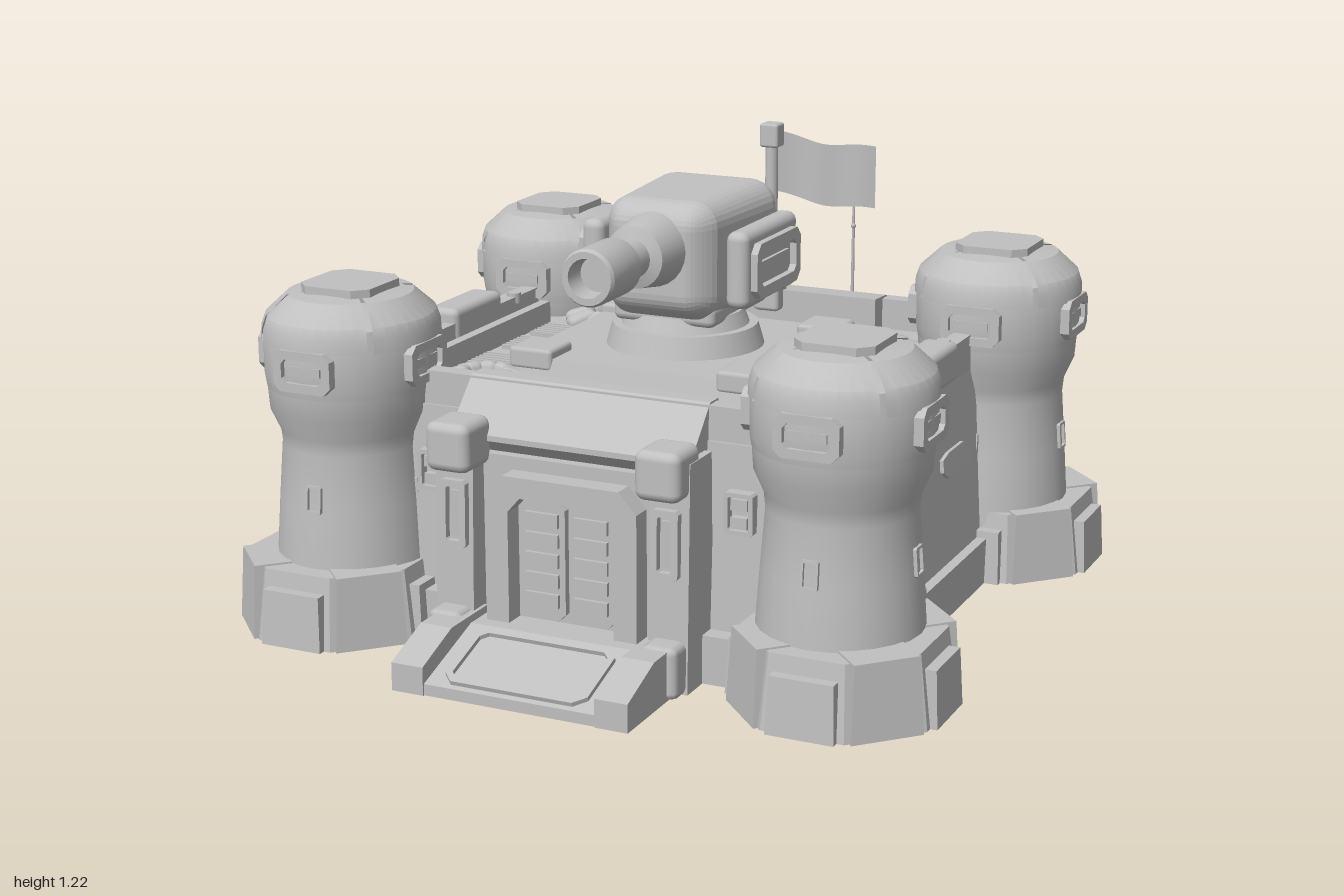
import * as THREE from 'three';
import { RoundedBoxGeometry } from 'three/addons/geometries/RoundedBoxGeometry.js';
import { toCreasedNormals } from 'three/addons/utils/BufferGeometryUtils.js';

const stone = new THREE.MeshStandardMaterial({ color: 0xc0c0c0, side: THREE.DoubleSide });
stone.name = 'plain grey';

function add(parent, name, geo, x = 0, y = 0, z = 0, rx = 0, ry = 0, rz = 0) {
  const m = new THREE.Mesh(geo, stone);
  m.name = name;
  m.position.set(x, y, z);
  m.rotation.set(rx, ry, rz);
  parent.add(m);
  return m;
}
function group(parent, name, x = 0, y = 0, z = 0, ry = 0) {
  const g = new THREE.Group();
  g.name = name;
  g.position.set(x, y, z);
  g.rotation.y = ry;
  parent.add(g);
  return g;
}
const box = (w, h, d) => new THREE.BoxGeometry(w, h, d);
const soft = (w, h, d, r = 0.015, s = 1) => new RoundedBoxGeometry(w, h, d, s, r);
const rod = (r0, r1, h, n = 24) => new THREE.CylinderGeometry(r0, r1, h, n);
// box standing on y = 0 whose top face is scaled
function taper(w, h, d, sx, sz) {
  const g = box(w, h, d).translate(0, h / 2, 0), p = g.attributes.position;
  for (let i = 0; i < p.count; i++) if (p.getY(i) > h / 2) p.setXYZ(i, p.getX(i) * sx, h, p.getZ(i) * sz);
  g.computeVertexNormals();
  return g;
}
const poly = pts => new THREE.Shape(pts.map(p => new THREE.Vector2(...p)));
const cut = (w, h, c) => [[-w + c, -h], [w - c, -h], [w, -h + c], [w, h - c], [w - c, h], [-w + c, h], [-w, h - c], [-w, -h + c]];
const plate = (pts, t) => new THREE.ExtrudeGeometry(poly(pts), { depth: t, bevelEnabled: false });
// (z, y) profile swept across x
const across = (pts, w) => plate(pts, w).translate(0, 0, -w / 2).rotateY(-Math.PI / 2);
// chamfered frame facing +z with an open middle
function frame(w, h, t, b, c = 0.015) {
  const s = poly(cut(w / 2, h / 2, c));
  s.holes.push(poly(cut(w / 2 - b, h / 2 - b, c * 0.6)));
  return new THREE.ExtrudeGeometry(s, { depth: t, bevelEnabled: false });
}
const lathe = (pts, n, a = 0, l = Math.PI * 2) =>
  toCreasedNormals(new THREE.LatheGeometry(pts.map(p => new THREE.Vector2(...p)), n, a, l), 0.5);

function tower(parent, sx, back) {
  const t = group(parent, back ? 'backTower' : 'frontTower');
  const b = group(t, 'towerBase', sx * 0.72, 0, back ? -0.692 : 0.562);
  b.scale.z = 1.04;
  add(b, 'footing', toCreasedNormals(rod(0.258, 0.285, 0.195, 8).rotateY(Math.PI / 8), 0.3), 0, 0.0975, 0);
  for (let i = 0; i < 8; i++) {
    const arm = group(b, 'buttress', 0, 0, 0, i * Math.PI / 4), tall = i % 2;
    add(arm, 'buttressBlock', tall ? taper(0.19, 0.2, 0.12, 0.9, 0.82) : taper(0.18, 0.15, 0.1, 0.94, 0.84), 0, 0, tall ? 0.215 : 0.232);
  }
  const s = group(t, 'towerShaft', sx * 0.7, 0, back ? -0.66 : 0.535);
  s.scale.z = 1.06;
  add(s, 'shaft', lathe([[0.22, 0.05], [0.213, 0.2], [0.202, 0.35], [0.19, 0.5], [0.194, 0.54], [0.22, 0.6], [0.225, 0.67]], 24));
  add(s, 'dome', lathe([[0.225, 0.66], [0.23, 0.69], [0.23, 0.78], [0.218, 0.84], [0.16, 0.893], [0, 0.9]], 24));
  add(s, 'cap', plate(cut(0.105, 0.105, 0.035), 0.036).rotateX(-Math.PI / 2), 0, 0.893, 0);
  for (let i = 0; i < 4; i++) {
    const f = group(s, 'towerFace', 0, 0, 0, i * Math.PI / 2);
    add(f, 'domePanel', lathe([[0.22, 0.785], [0.234, 0.785], [0.232, 0.82], [0.222, 0.85], [0.165, 0.903], [0.1, 0.91]], 10, -0.75, 1.5));
    add(f, 'visorFrame', frame(0.17, 0.11, 0.045, 0.024, 0.02), 0, 0.735, 0.192);
    add(f, 'visorSlit', box(0.1, 0.024, 0.03), 0, 0.735, 0.214);
    add(f, 'slotFrame', frame(0.046, 0.075, 0.026, 0.007, 0.004), 0, 0.38, 0.18, -0.08);
  }
}

function turret(parent) {
  const t = group(parent, 'turret', 0, 0, -0.06);
  add(t, 'turretRing', rod(0.2, 0.22, 0.07, 32), 0, 0.725, 0);
  add(t, 'turretNeck', rod(0.16, 0.18, 0.05, 32), 0, 0.775, 0);
  const hull = soft(0.37, 0.35, 0.47, 0.075, 4), p = hull.attributes.position;
  // narrow the hull towards the gun
  for (let i = 0; i < p.count; i++) {
    const k = THREE.MathUtils.smoothstep(p.getZ(i), 0.05, 0.235);
    p.setX(i, p.getX(i) * (1 - 0.22 * k));
    p.setY(i, p.getY(i) * (1 - 0.12 * k) + 0.01 * k);
  }
  hull.computeVertexNormals();
  add(t, 'turretHull', hull, 0, 0.957, -0.015);
  add(t, 'turretSkirt', soft(0.3, 0.06, 0.38, 0.02, 2), 0, 0.81, -0.04);
  add(t, 'turretBackPlate', soft(0.29, 0.26, 0.075, 0.03, 2), 0, 0.922, -0.288);
  for (let i = 0; i < 5; i++) add(t, 'backLouvre', box(0.16, 0.014, 0.012), 0, 0.85 + i * 0.035, -0.322, 0.4);
  for (const s of [-1, 1]) {
    add(t, 'sidePod', soft(0.065, 0.21, 0.36, 0.025, 2), s * 0.213, 0.945, -0.03);
    add(t, 'podFrame', frame(0.3, 0.15, 0.03, 0.03, 0.025), s * 0.235, 0.94, -0.03, 0, s * Math.PI / 2);
    add(t, 'podSlit', box(0.015, 0.05, 0.19), s * 0.247, 0.935, -0.03);
  }
  const gun = [[0, 0.15], [0.1, 0.15], [0.1, 0.22], [0.083, 0.325], [0.052, 0.335], [0.052, 0.43], [0.074, 0.432],
    [0.076, 0.44], [0.076, 0.59], [0.07, 0.6], [0.052, 0.6], [0.046, 0.54], [0, 0.54]];
  add(t, 'gunBarrel', lathe(gun, 24), 0, 1.0, 0, Math.PI / 2);
}

function gate(g) {
  add(g, 'gateHood', across([[0.48, 0.715], [0.53, 0.715], [0.65, 0.59], [0.65, 0.575], [0.6, 0.53], [0.48, 0.53]], 0.68));
  add(g, 'gateBlock', box(0.5, 0.54, 0.16), 0, 0.27, 0.56);
  const arch = poly([[-0.215, 0], [-0.215, 0.45], [-0.165, 0.505], [0.165, 0.505], [0.215, 0.45], [0.215, 0]]);
  arch.holes.push(poly([[-0.15, 0.08], [0.15, 0.08], [0.15, 0.41], [0.115, 0.45], [-0.115, 0.45], [-0.15, 0.41]]));
  add(g, 'gateFrame', new THREE.ExtrudeGeometry(arch, { depth: 0.08, bevelEnabled: false }), 0, 0, 0.62);
  for (const s of [-1, 1]) {
    add(g, 'doorLeaf', plate(cut(0.064, 0.16, 0.02), 0.02), s * 0.07, 0.28, 0.64);
    for (let i = 0; i < 5; i++) add(g, 'doorBar', box(0.095, 0.036, 0.015), s * 0.07, 0.175 + i * 0.054, 0.663);
    add(g, 'gatePillar', taper(0.11, 0.6, 0.16, 1, 0.8), s * 0.305, 0, 0.63);
    add(g, 'pillarCap', soft(0.125, 0.13, 0.14, 0.025, 2), s * 0.295, 0.575, 0.69);
    add(g, 'pillarFoot', soft(0.1, 0.14, 0.16, 0.02), s * 0.305, 0.07, 0.69);
    add(g, 'pillarFrame', frame(0.075, 0.18, 0.03, 0.018, 0.008), s * 0.3, 0.39, 0.69, -0.02);
    add(g, 'pillarLamp', box(0.025, 0.12, 0.02), s * 0.3, 0.39, 0.695);
    add(g, 'rampSide', across([[0.65, 0], [0.99, 0], [0.99, 0.075], [0.84, 0.13], [0.65, 0.13]], 0.09), s * 0.285);
    add(g, 'wallBox', frame(0.08, 0.11, 0.035, 0.012, 0.006), s * 0.44, 0.45, 0.55);
    for (const y of [0.425, 0.473]) add(g, 'wallButton', box(0.045, 0.03, 0.02), s * 0.44, y, 0.57);
  }
  add(g, 'ramp', across([[0.62, 0], [0.985, 0], [0.985, 0.03], [0.74, 0.11], [0.62, 0.11]], 0.49));
  add(g, 'rampFrame', frame(0.4, 0.22, 0.015, 0.018, 0.03), 0, 0.066, 0.865, -Math.PI / 2 + 0.316);
}

function rear(g) {
  add(g, 'rearHood', across([[-0.66, 0.72], [-0.75, 0.715], [-0.81, 0.67], [-0.845, 0.58], [-0.845, 0.45], [-0.825, 0.42], [-0.66, 0.42]], 0.66));
  add(g, 'rearWall', box(0.6, 0.44, 0.14), 0, 0.22, -0.75);
  for (const s of [-1, 1]) add(g, 'rearPost', taper(0.07, 0.24, 0.1, 0.9, 0.8), s * 0.27, 0.19, -0.785);
  add(g, 'rearVentFrame', frame(0.38, 0.15, 0.08, 0.035, 0.04), 0, 0.37, -0.798, 0, Math.PI);
  add(g, 'rearVentBack', box(0.36, 0.13, 0.05), 0, 0.37, -0.825);
  for (let i = 0; i < 3; i++) add(g, 'rearVentSlat', box(0.3, 0.014, 0.03), 0, 0.34 + i * 0.03, -0.852, 0.4);
  // stepped plinth with an arched foot
  add(g, 'rearStepCore', box(0.7, 0.19, 0.13), 0, 0.095, -0.84);
  const step = plate([[-0.36, 0], [-0.2, 0], [-0.15, 0.07], [0.15, 0.07], [0.2, 0], [0.36, 0], [0.36, 0.19], [-0.36, 0.19]], 0.15);
  add(g, 'rearStep', step, 0, 0, -0.935);
  // flag and aerials
  add(g, 'flagFoot', soft(0.08, 0.16, 0.08, 0.012), 0, 0.74, -0.66);
  add(g, 'flagPole', rod(0.018, 0.02, 0.5, 12), 0, 0.95, -0.66);
  add(g, 'poleCap', soft(0.058, 0.07, 0.058, 0.008), 0, 1.18, -0.66);
  const cloth = new THREE.PlaneGeometry(0.31, 0.18, 16, 1), p = cloth.attributes.position;
  for (let i = 0; i < p.count; i++) {
    const u = (p.getX(i) + 0.155) / 0.31;
    p.setY(i, p.getY(i) - 0.025 * u - 0.012 * Math.sin(u * 6.3 - 1));
    p.setZ(i, -0.025 * Math.sin(u * 6));
  }
  cloth.computeVertexNormals();
  add(g, 'flag', cloth, 0.165, 1.092, -0.675);
  add(g, 'aerial', rod(0.004, 0.005, 0.3, 6), 0.22, 0.85, -0.76);
  add(g, 'aerialTip', new THREE.SphereGeometry(0.008, 8, 6), 0.22, 0.91, -0.76);
  add(g, 'aerial', rod(0.004, 0.005, 0.2, 6), -0.19, 0.78, -0.72);
}

function roof(g) {
  const y = 0.62;
  add(g, 'turretDeck', taper(0.76, 0.08, 0.7, 0.94, 0.94), 0, y, -0.06);
  add(g, 'frontParapet', box(0.98, 0.1, 0.05), 0, y + 0.04, 0.515);
  add(g, 'backParapet', box(0.98, 0.1, 0.05), 0, y + 0.04, -0.745);
  for (const s of [-1, 1]) {
    add(g, 'sideParapet', box(0.05, 0.1, 0.9), s * 0.677, y + 0.04, -0.065);
    add(g, 'innerRail', box(0.03, 0.07, 0.62), s * 0.6, y + 0.03, -0.065);
    add(g, 'parapetBlock', soft(0.1, 0.11, 0.27, 0.02, 2), s * 0.695, 0.695, -0.06);
    for (const z of [-0.3, 0.22]) add(g, 'railBolt', rod(0.02, 0.02, 0.03, 12), s * 0.665, 0.705, z);
    for (const z of [-0.335, 0.215]) add(g, 'deckBlock', soft(0.13, 0.06, 0.13, 0.012), s * 0.305, 0.695, z);
    for (const z0 of [-0.27, -0.1, 0.1])
      for (let i = 0; i < 6; i++) add(g, 'sideGrille', box(0.13, 0.015, 0.01), s * 0.5, y + 0.006, z0 + (i - 2.5) * 0.022);
    // rings of padded bags near the towers
    for (const z of [-0.43, 0.32]) for (let i = 0; i < 9; i++) {
      const arm = group(g, 'bagRing', s * 0.42, y + 0.022, z, i * Math.PI * 2 / 9);
      add(arm, 'bag', soft(0.055, 0.045, 0.09, 0.02, 2), 0, 0, 0.085, 0.3);
    }
  }
  for (const x of [-0.27, 0, 0.27]) for (const z of [-0.53, 0.4])
    for (let i = 0; i < 5; i++) add(g, 'roofGrille', box(0.18, 0.016, 0.014), x, y + 0.006, z + (i - 2) * 0.03);
}

function body(g) {
  // hollow plinth with slats underneath
  const base = poly([[-0.77, -0.62], [0.77, -0.62], [0.77, 0.8], [-0.77, 0.8]]);
  base.holes.push(poly([[-0.28, -0.42], [0.28, -0.42], [0.28, 0.46], [-0.28, 0.46]]));
  add(g, 'plinth', new THREE.ExtrudeGeometry(base, { depth: 0.13, bevelEnabled: false }).rotateX(-Math.PI / 2));
  for (let i = 0; i < 16; i++) add(g, 'underSlat', box(0.56, 0.03, 0.03), 0, 0.016, -0.433 + i * 0.055);
  add(g, 'mainWalls', taper(1.5, 0.59, 1.37, 0.935, 0.96), 0, 0.03, -0.11);
  for (const s of [-1, 1]) {
    const side = group(g, 'sideWall', s * 0.722, 0, 0, s * Math.PI / 2);
    const along = z => -s * z;
    add(side, 'sidePilaster', soft(0.1, 0.18, 0.1, 0.015), along(0.19), 0.09, 0.02);
    add(side, 'wallHatch', plate(cut(0.056, 0.056, 0.004), 0.016), along(0.165), 0.315, -0.002, -0.09);
    const tag = [[-0.11, -0.035], [0.07, -0.035], [0.11, -0.01], [0.11, 0.025], [0.06, 0.035], [-0.06, 0.035], [-0.11, 0.015]];
    add(side, 'wallPanel', plate(tag.map(([u, v]) => [-s * u, v]), 0.016), along(-0.25), 0.4, -0.008, -0.09);
  }
}

export function createModel() {
  const g = new THREE.Group();
  g.name = 'fortress';
  body(group(g, 'mainBody'));
  roof(group(g, 'roof'));
  gate(group(g, 'gate'));
  rear(group(g, 'rear'));
  for (const s of [-1, 1]) for (const back of [false, true]) tower(g, s, back);
  turret(g);
  return g;
}
